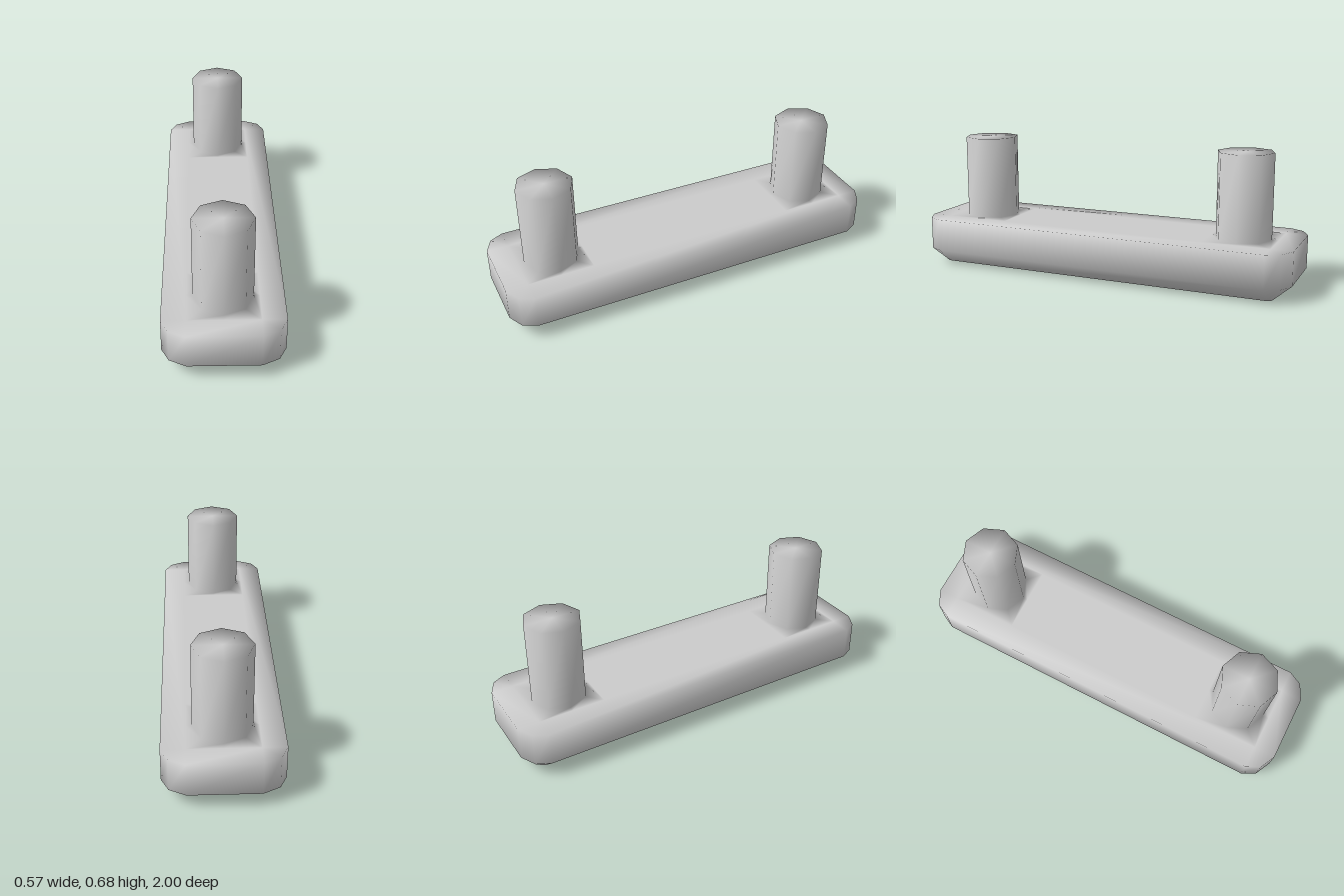
import * as THREE from 'three';
import { mergeVertices } from 'three/addons/utils/BufferGeometryUtils.js';

const W = 0.17, L = 0.89, TOP = 0.25; // flat core of the base
const PEG_Z = 0.715, PEG_R = 0.1425, PEG_TOP = 0.68;

// Base outline at height y; s scales how far it swells beyond the flat core
function baseRing(y, s) {
  const corner = [[0.115, 0], [0.08, 0.07], [0, 0.11]];
  const ring = [];
  for (const [sx, sz] of [[1, 1], [-1, 1], [-1, -1], [1, -1]]) {
    const pts = sx * sz > 0 ? corner : [...corner].reverse();
    for (const [ox, oz] of pts) ring.push(new THREE.Vector3(sx * (W + s * ox), y, sz * (L + s * oz)));
  }
  return ring;
}

// Eight-sided ring around a peg, round or square
function pegRing(y, z, r, square = false) {
  return Array.from({ length: 8 }, (_, k) => {
    const c = Math.cos(k * Math.PI / 4), s = Math.sin(k * Math.PI / 4);
    const f = square ? r / Math.max(Math.abs(c), Math.abs(s)) : r;
    return new THREE.Vector3(c * f, y, z + s * f);
  });
}

// Joins successive rings with triangles, skipping collapsed ones
function loft(rings) {
  const out = [];
  const tri = (a, b, c) => {
    const area = b.clone().sub(a).cross(c.clone().sub(a)).length();
    if (area > 1e-7) for (const p of [a, b, c]) out.push(p.x, p.y, p.z);
  };
  for (let r = 0; r + 1 < rings.length; r++) {
    const lo = rings[r], hi = rings[r + 1], n = lo.length;
    for (let i = 0; i < n; i++) {
      const j = (i + 1) % n;
      tri(lo[i], hi[i], lo[j]);
      tri(lo[j], hi[i], hi[j]);
    }
  }
  return out;
}

// Flat rectangle facing up or down
function panel(y, l, up) {
  const a = [-W, y, -l], b = [-W, y, l], c = [W, y, l], d = [W, y, -l];
  return (up ? [a, b, c, a, c, d] : [a, c, b, a, d, c]).flat();
}

export function createModel() {
  const parts = [];

  // Base: chamfered underside, straight wall, flat top with a square patch round each peg
  const base = [
    ...loft([baseRing(0, 0), baseRing(0, 0.17), baseRing(0.08, 1), baseRing(TOP, 1), baseRing(TOP, 0)]),
    ...panel(0, L, false),
    ...panel(TOP, 0.55, true),
  ];
  for (const side of [1, -1]) {
    base.push(...loft([pegRing(TOP, side * 0.72, W, true), pegRing(TOP, side * PEG_Z, PEG_R)]));
  }
  parts.push(['base', base]);

  // Pegs
  for (const [name, side] of [['frontPeg', 1], ['backPeg', -1]]) {
    const z = side * PEG_Z;
    parts.push([name, loft([pegRing(TOP, z, PEG_R), pegRing(PEG_TOP, z, PEG_R), pegRing(PEG_TOP, z, 0)])]);
  }

  // Smooth normals run across the joints, so they are computed on the whole body
  const whole = new THREE.BufferGeometry();
  whole.setAttribute('position', new THREE.Float32BufferAttribute(parts.flatMap((p) => p[1]), 3));
  const smooth = mergeVertices(whole, 1e-4);
  smooth.computeVertexNormals();

  // Split back into named parts
  const group = new THREE.Group();
  const material = new THREE.MeshStandardMaterial({ color: 0xcccccc });
  let start = 0;
  for (const [name, coords] of parts) {
    const count = coords.length / 3;
    const piece = smooth.clone();
    piece.setIndex(Array.from(smooth.index.array.slice(start, start + count)));
    start += count;
    const mesh = new THREE.Mesh(piece.toNonIndexed(), material);
    mesh.name = name;
    group.add(mesh);
  }
  return group;
}
